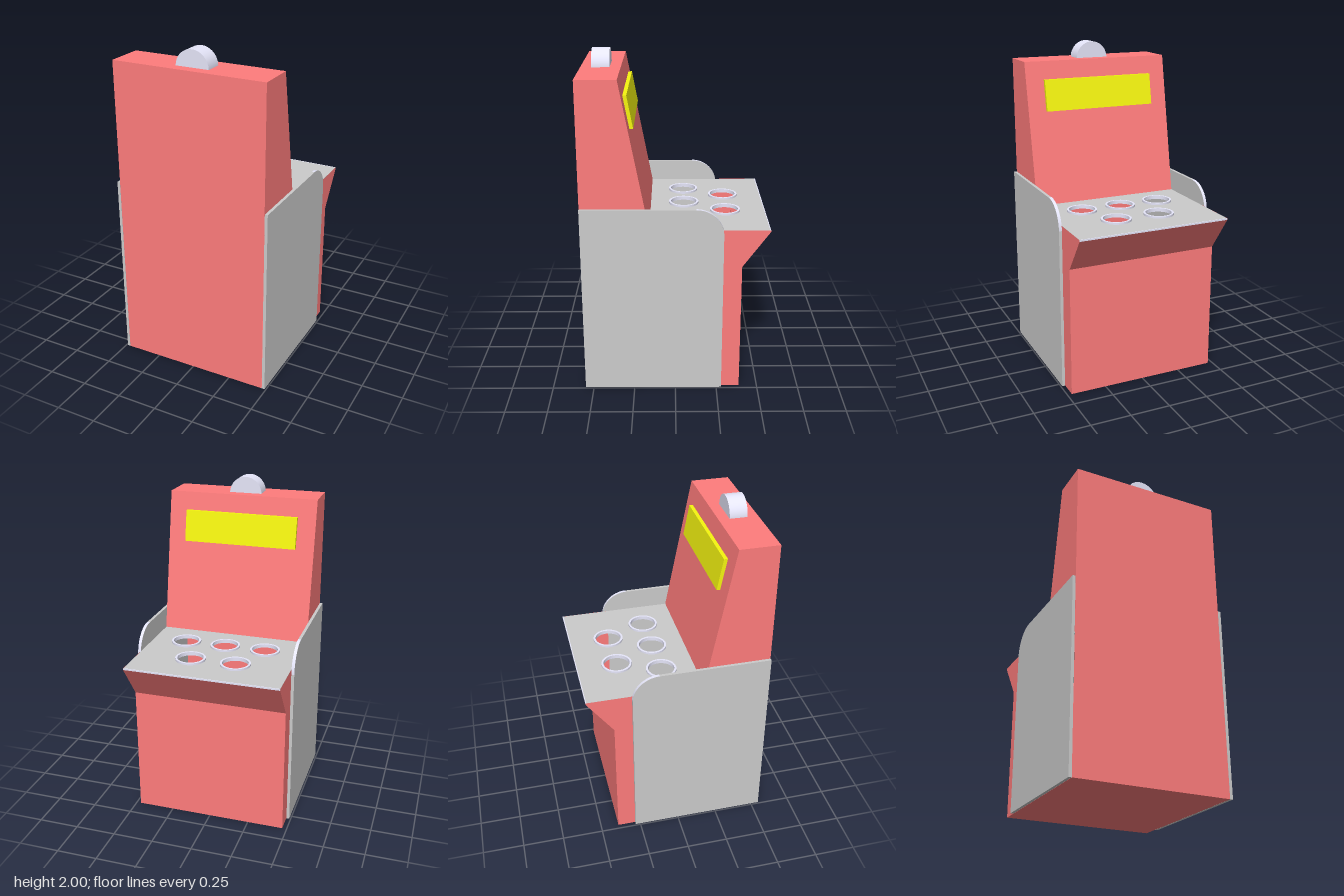
import * as THREE from 'three';

const HALF = 0.472;        // half width of the cabinet
const DECK = 1.03;         // height of the playfield surface
const DOUBLE = THREE.DoubleSide;

const red = new THREE.MeshStandardMaterial({ color: 0xff7c7c, side: DOUBLE });
const grey = new THREE.MeshStandardMaterial({ color: 0xcccccc });
const pale = new THREE.MeshStandardMaterial({ color: 0xe6e6fa, side: DOUBLE });
const yellow = new THREE.MeshStandardMaterial({ color: 0xf5f510 });

const shapeOf = (pts) => new THREE.Shape(pts.map(([z, y]) => new THREE.Vector2(z, y)));

// Extrude a side profile drawn in (z, y), centred on x
function extrudeX(shape, width) {
  const g = new THREE.ExtrudeGeometry(shape, { depth: width, bevelEnabled: false, curveSegments: 12 });
  return g.translate(0, 0, -width / 2).rotateY(-Math.PI / 2);
}

// Sweep an open (z, y) profile across the cabinet width
function sweepX(profile, w) {
  const pos = [];
  for (let i = 0; i < profile.length - 1; i++) {
    const [az, ay] = profile[i], [bz, by] = profile[i + 1];
    pos.push(-w, ay, az, w, ay, az, w, by, bz, -w, ay, az, w, by, bz, -w, by, bz);
  }
  const g = new THREE.BufferGeometry();
  g.setAttribute('position', new THREE.Float32BufferAttribute(pos, 3));
  g.computeVertexNormals();
  return g;
}

export function createModel() {
  const model = new THREE.Group();
  const add = (name, geometry, material, x = 0, y = 0, z = 0) => {
    const mesh = new THREE.Mesh(geometry, material);
    mesh.name = name;
    mesh.position.set(x, y, z);
    model.add(mesh);
    return mesh;
  };

  // Hollow cabinet: lip, front, floor, back, top and sloping backboard
  add('cabinetShell', sweepX([
    [-0.55, 1.02], [-0.39, 0.8], [-0.39, 0], [0.55, 0],
    [0.55, 1.9], [0.315, 1.9], [0.15, DECK],
  ], HALF), red);

  // Side profiles shared by both flanks
  const frontCheek = shapeOf([
    [-0.55, DECK], [-0.55, 1.02], [-0.39, 0.8], [-0.39, 0], [-0.25, 0], [-0.25, DECK],
  ]);
  const housingCheek = shapeOf([[0.15, DECK], [0.55, DECK], [0.55, 1.9], [0.315, 1.9]]);
  const r = 0.16;
  const panel = new THREE.Shape();
  panel.moveTo(-0.28, 0);
  panel.lineTo(0.55, 0);
  panel.lineTo(0.55, 1.16);
  panel.lineTo(-0.28 + r, 1.16);
  panel.absarc(-0.28 + r, 1.16 - r, r, Math.PI / 2, Math.PI, false);

  for (const s of [1, -1]) {
    const side = s > 0 ? 'left' : 'right';
    for (const [name, shape] of [['FrontCheek', frontCheek], ['HousingCheek', housingCheek]]) {
      add(side + name, new THREE.ShapeGeometry(shape).rotateY(-Math.PI / 2), red, s * HALF);
    }
    add(side + 'Panel', extrudeX(panel, 0.018), grey, s * 0.482);
    // Rounded trim over the panel's front corner
    const trim = new THREE.CylinderGeometry(r + 0.001, r + 0.001, 0.018, 16, 1, true, Math.PI / 2, Math.PI / 2);
    add(side + 'PanelTrim', trim.rotateZ(Math.PI / 2), pale, s * 0.482, 1.16 - r, -0.28 + r);
  }

  // Playfield plate with five holes, each with a raised rim
  const holes = [[-0.14, -0.305], [0.14, -0.305], [-0.255, -0.055], [0, -0.055], [0.255, -0.055]];
  const w = HALF - 0.001;
  // Drawn in (x, -z) and laid flat
  const plate = shapeOf([[-w, -0.15], [w, -0.15], [w, 0.545], [-w, 0.545]]);
  const rim = new THREE.LatheGeometry([
    [0.079, -0.01], [0.079, 0.012], [0.079, 0.012], [0.092, 0.012], [0.092, 0.012], [0.092, 0],
  ].map(([x, y]) => new THREE.Vector2(x, y)), 40);
  for (const [x, z] of holes) {
    plate.holes.push(new THREE.Path().absarc(x, -z, 0.08, 0, Math.PI * 2, true));
    add('holeRim', rim, pale, x, DECK, z);
  }
  const plateGeo = new THREE.ExtrudeGeometry(plate, { depth: 0.01, bevelEnabled: false, curveSegments: 40 });
  add('playfield', plateGeo.rotateX(-Math.PI / 2), grey, 0, DECK - 0.01, 0);
  add('playfieldFrontTrim', new THREE.BoxGeometry(2 * w, 0.01, 0.006), pale, 0, DECK - 0.005, -0.547);

  // Display strip on the backboard
  add('display', extrudeX(shapeOf([[0.237, 1.6], [0.26, 1.6], [0.296, 1.79], [0.272, 1.79]]), 0.716), yellow);

  // Half-round beacon on top
  const beacon = new THREE.CylinderGeometry(0.102, 0.102, 0.106, 32, 1, false, Math.PI / 2, Math.PI);
  add('beacon', beacon.rotateX(Math.PI / 2), pale, 0, 1.898, 0.433);

  return model;
}
